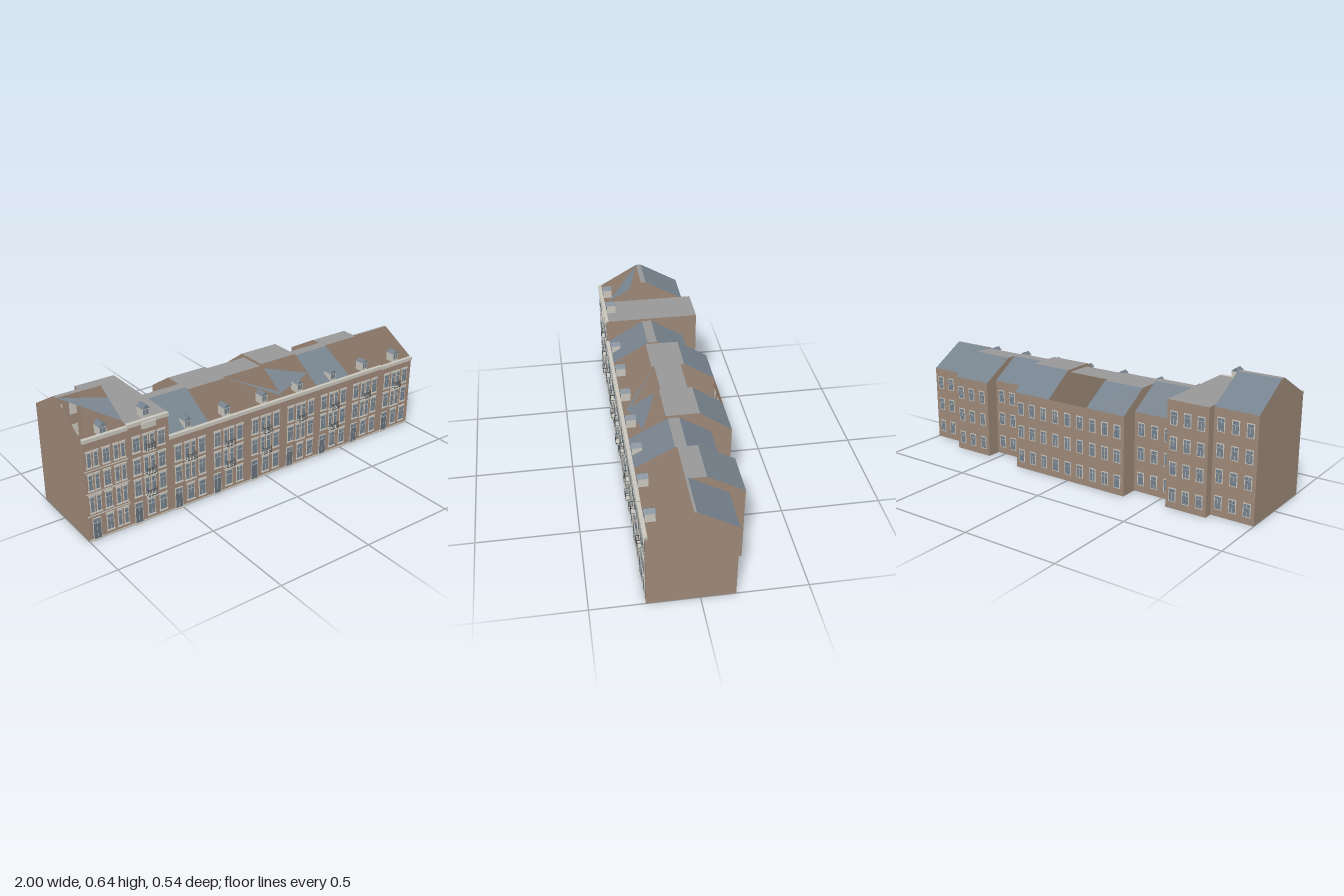
import * as THREE from 'three';

const paint = (name, color, side = THREE.FrontSide) => {
  const m = new THREE.MeshStandardMaterial({ color, side });
  m.name = name;
  return m;
};
const brick = paint('brick', 0x9d8877, THREE.DoubleSide);
const slate = paint('slate', 0x76828d, THREE.DoubleSide);
const flatRoof = paint('flat roof grey', 0x979797, THREE.DoubleSide);
const cream = paint('cream trim', 0xc9c6bd);
const glass = paint('glass', 0x75828e);
const doorPaint = paint('door', 0x66727c);
const iron = paint('iron', 0x44484a);

const FRONT = 0.245, EAVE_Z = 0.235;

// x0, x1, back z, eave height, ridge height, ridge back z, ridge front z
// front: roof slope left standing, as [across 0..1, down the slope 0..1] corners
const FULL = [[0, 0], [1, 0], [1, 1], [0, 1]];
const houses = [
  { x0: -1, x1: -0.78, back: -0.205, eave: 0.52, top: 0.637, r0: 0, r1: 0.027, front: [[0, 0], [1, 0.3], [1, 0.88]], rows: 4, balconies: [], narrow: true },
  { x0: -0.78, x1: -0.565, back: -0.25, eave: 0.528, top: 0.528, flat: true, rows: 4, balconies: [1, 2, 3] },
  { x0: -0.565, x1: -0.34, back: -0.175, eave: 0.405, top: 0.515, r0: 0, r1: 0.05, front: FULL, balconies: [2] },
  { x0: -0.34, x1: -0.12, back: -0.268, eave: 0.405, top: 0.506, r0: -0.11, r1: 0.06, balconies: [1, 2] },
  { x0: -0.12, x1: 0.11, back: -0.268, eave: 0.405, top: 0.506, r0: -0.09, r1: 0.045, openBack: true, front: [[0, 0], [1, 0.82], [1, 0.95]], balconies: [1, 2] },
  { x0: 0.11, x1: 0.33, back: -0.268, eave: 0.405, top: 0.52, r0: -0.11, r1: 0.055, front: [[0, 0.13], [1, 0.6], [0, 0.88]], balconies: [2] },
  { x0: 0.33, x1: 0.55, back: -0.165, eave: 0.405, top: 0.506, r0: -0.01, r1: 0.045, front: FULL, balconies: [1, 2] },
  { x0: 0.55, x1: 0.775, back: -0.237, eave: 0.405, top: 0.506, r0: -0.06, r1: 0.035, balconies: [2] },
  { x0: 0.775, x1: 1, back: -0.163, eave: 0.4, top: 0.512, r0: 0.025, r1: 0.037, balconies: [2] },
];

// Box given by centre x, bottom y, centre z
function box(parent, name, mat, x, y, z, w, h, d) {
  const m = new THREE.Mesh(new THREE.BoxGeometry(w, h, d), mat);
  m.name = name;
  m.position.set(x, y + h / 2, z);
  parent.add(m);
}

// Flat polygon from 3D corners, listed anticlockwise seen from outside
function panel(parent, name, mat, corners) {
  const g = new THREE.BufferGeometry();
  g.setAttribute('position', new THREE.Float32BufferAttribute(corners.flat(), 3));
  const index = [];
  for (let i = 2; i < corners.length; i++) index.push(0, i - 1, i);
  g.setIndex(index);
  g.computeVertexNormals();
  const m = new THREE.Mesh(g, mat);
  m.name = name;
  parent.add(m);
}

// Framed window with sill and lintel; dir is +1 on the front, -1 on the back
function windowUnit(parent, x, y, z, w, h, dir, panes = 2) {
  const g = new THREE.Group();
  g.name = 'window';
  box(g, 'frame', cream, x, y, z + dir * 0.001, w, h, 0.004);
  const pw = (w - 0.006) / panes;
  for (let i = 0; i < panes; i++) {
    const px = x + (i - (panes - 1) / 2) * pw;
    box(g, 'lowerPane', glass, px, y + 0.004, z + dir * 0.003, pw - 0.002, h * 0.62, 0.002);
    box(g, 'upperPane', glass, px, y + h * 0.71, z + dir * 0.003, pw - 0.002, h * 0.23, 0.002);
  }
  if (dir > 0) {
    box(g, 'sill', cream, x, y - 0.005, z + 0.002, w + 0.006, 0.005, 0.008);
    box(g, 'lintel', cream, x, y + h, z + 0.001, w + 0.008, 0.007, 0.006);
  }
  parent.add(g);
}

function frontDoor(parent, x) {
  const g = new THREE.Group();
  g.name = 'frontDoor';
  box(g, 'frame', cream, x, 0.005, FRONT + 0.001, 0.042, 0.112, 0.004);
  for (const s of [-1, 1]) {
    box(g, 'leaf', doorPaint, x + s * 0.0095, 0.008, FRONT + 0.003, 0.017, 0.08, 0.002);
    box(g, 'fanlight', glass, x + s * 0.0095, 0.092, FRONT + 0.003, 0.017, 0.02, 0.002);
  }
  box(g, 'step', cream, x, 0, FRONT + 0.002, 0.046, 0.006, 0.01);
  parent.add(g);
}

function balcony(parent, x, y) {
  const g = new THREE.Group();
  g.name = 'balcony';
  const w = 0.05, d = 0.024, h = 0.04, t = 0.002;
  box(g, 'slab', cream, x, y, FRONT + d / 2, w, 0.005, d);
  for (const ry of [0.008, h - t]) {
    box(g, 'frontRail', iron, x, y + ry, FRONT + d - t / 2, w, t, t);
    for (const s of [-1, 1]) box(g, 'sideRail', iron, x + s * (w - t) / 2, y + ry, FRONT + d / 2, t, t, d);
  }
  for (let i = 0; i <= 6; i++) {
    box(g, 'baluster', iron, x + (i / 6 - 0.5) * (w - t), y + 0.004, FRONT + d - t / 2, t * 0.8, h - 0.005, t * 0.8);
  }
  parent.add(g);
}

function dormer(parent, x, y) {
  const g = new THREE.Group();
  g.name = 'dormer';
  const w = 0.036, z0 = 0.185, z1 = 0.233;
  box(g, 'dormerBody', cream, x, y, (z0 + z1) / 2, w, 0.046, z1 - z0);
  for (const s of [-1, 1]) box(g, 'dormerPane', glass, x + s * 0.0075, y + 0.014, z1, 0.011, 0.027, 0.003);
  const gable = new THREE.Shape([[-0.021, 0], [0.021, 0], [0, 0.017]].map(p => new THREE.Vector2(...p)));
  const roof = new THREE.Mesh(new THREE.ExtrudeGeometry(gable, { depth: z1 - z0 + 0.004, bevelEnabled: false }), slate);
  roof.name = 'dormerRoof';
  roof.position.set(x, y + 0.046, z0);
  g.add(roof);
  parent.add(g);
}

function shell(g, h) {
  const { x0, x1, back, eave, top, r0, r1 } = h;
  // Gable walls follow the roof section
  const section = [[FRONT, 0], [FRONT, eave - 0.005], [EAVE_Z, eave]];
  if (!h.flat) section.push([r1, top], [r0, top]);
  section.push([back, eave], [back, 0]);
  const shape = new THREE.Shape(section.map(p => new THREE.Vector2(...p)));
  for (const x of [x0, x1]) {
    const wall = new THREE.Mesh(new THREE.ShapeGeometry(shape).rotateY(-Math.PI / 2), brick);
    wall.name = 'gableWall';
    wall.position.x = x;
    g.add(wall);
  }
  panel(g, 'frontWall', brick, [[x0, 0, FRONT], [x1, 0, FRONT], [x1, eave, FRONT], [x0, eave, FRONT]]);
  panel(g, 'backWall', brick, [[x1, 0, back], [x0, 0, back], [x0, eave, back], [x1, eave, back]]);
  panel(g, 'floor', brick, [[x0, 0, back], [x1, 0, back], [x1, 0, FRONT], [x0, 0, FRONT]]);

  // Roof: flat top or ridge strip, back slope, and what stands of the front slope
  const a = h.flat ? back : r0, b = h.flat ? FRONT : r1;
  panel(g, 'flatRoof', flatRoof, [[x0, top, b], [x1, top, b], [x1, top, a], [x0, top, a]]);
  if (h.flat) return;
  if (!h.openBack) panel(g, 'backRoof', slate, [[x1, eave, back], [x0, eave, back], [x0, top, r0], [x1, top, r0]]);
  if (h.front) {
    const at = ([u, v]) => [x0 + (x1 - x0) * u, top + (eave - top) * v, r1 + (EAVE_Z - r1) * v];
    panel(g, 'frontRoof', slate, h.front.map(at).reverse());
  }
}

function facade(g, h) {
  const cx = (h.x0 + h.x1) / 2, w = h.x1 - h.x0, rows = h.rows || 3;
  const floorY = [0.03, 0.148, 0.262, 0.378], height = [0.085, 0.085, 0.08, 0.075];

  for (let r = 0; r < rows; r++) {
    const y = floorY[r], wh = height[r];
    if (h.narrow) {
      for (const dx of r ? [-0.084, -0.05, 0, 0.05, 0.084] : [0, 0.05, 0.084]) {
        windowUnit(g, cx + dx, y, FRONT, dx ? 0.024 : 0.036, wh, 1, dx ? 1 : 2);
      }
    } else if (r === 0) {
      for (const dx of [0, 0.065]) windowUnit(g, cx + dx, y, FRONT, 0.04, wh, 1);
    } else {
      for (const dx of [-0.066, 0.066]) windowUnit(g, cx + dx, y, FRONT, 0.038, wh, 1);
      for (const dx of [-0.017, 0.017]) windowUnit(g, cx + dx, y - 0.006, FRONT, 0.026, wh + 0.006, 1, 1);
    }
    // Rear windows
    const by = [0.035, 0.165, 0.288, 0.41][r];
    for (const dx of [-0.33, 0, 0.33]) windowUnit(g, cx + dx * w, by, h.back, 0.038, 0.068, -1);
  }
  frontDoor(g, cx - 0.068);
  for (const f of h.balconies) balcony(g, cx, [0, 0.132, 0.247, 0.372][f]);

  // Cornice, plinth and string courses
  box(g, 'cornice', cream, cx, h.eave - 0.017, 0.243, w, 0.018, 0.018);
  box(g, 'plinth', cream, cx, 0, FRONT, w, 0.01, 0.004);
  if (h.narrow) for (const y of [0.128, 0.243, 0.358]) box(g, 'stringCourse', cream, cx, y, FRONT, w, 0.005, 0.004);
  if (h.flat) box(g, 'corniceBlock', cream, cx, 0.49, 0.252, 0.07, 0.03, 0.018);
  dormer(g, cx, h.eave - (h.narrow ? 0.015 : h.flat ? 0 : 0.003));
}

export function createModel() {
  const model = new THREE.Group();
  model.name = 'terraceOfHouses';
  houses.forEach((h, i) => {
    const g = new THREE.Group();
    g.name = `house${i + 1}`;
    shell(g, h);
    facade(g, h);
    model.add(g);
  });
  return model;
}
